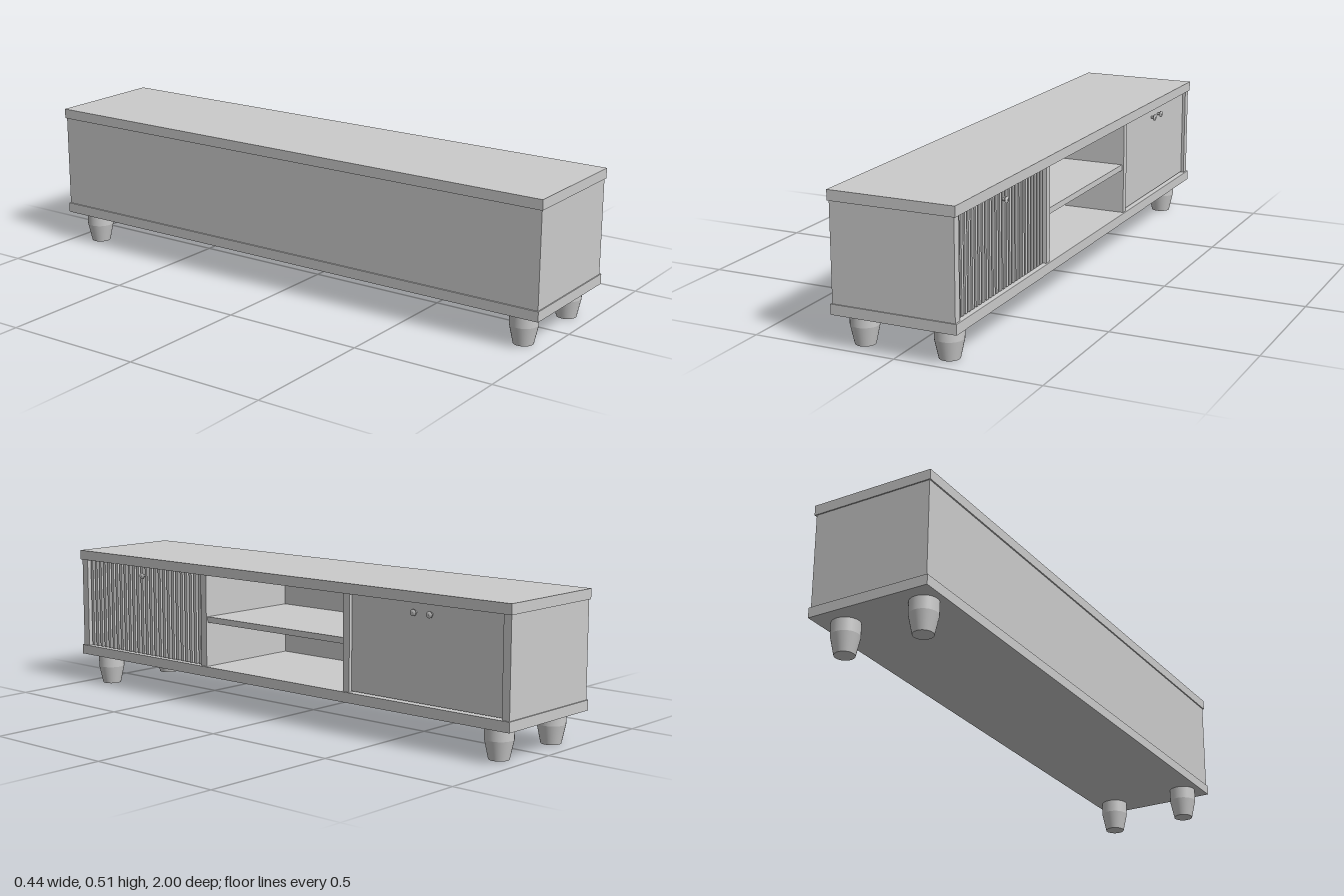
import * as THREE from 'three';

const material = new THREE.MeshStandardMaterial({ color: 0xcccccc });

export function createModel() {
  const model = new THREE.Group();
  model.name = 'mediaCabinet';

  // Box given by its limits on each axis
  const box = (name, [x0, x1], [y0, y1], [z0, z1]) => {
    const mesh = new THREE.Mesh(new THREE.BoxGeometry(x1 - x0, y1 - y0, z1 - z0), material);
    mesh.position.set((x0 + x1) / 2, (y0 + y1) / 2, (z0 + z1) / 2);
    mesh.name = name;
    model.add(mesh);
  };

  // Carcass
  const slabX = [-0.22, 0.218], bodyX = [-0.215, 0.212], bodyY = [0.145, 0.475];
  box('topBoard', slabX, [0.475, 0.51], [-1, 1]);
  box('bottomBoard', slabX, [0.11, 0.145], [-1, 1]);
  box('backPanel', [-0.215, -0.2], bodyY, [-0.967, 0.967]);
  for (const s of [-1, 1]) {
    const span = (a, b) => [Math.min(s * a, s * b), Math.max(s * a, s * b)];
    box('sidePanel', bodyX, bodyY, span(0.967, 0.996));
    box('divider', [-0.2, 0.212], bodyY, span(0.323, 0.35));
  }
  box('shelf', [-0.2, 0.205], [0.304, 0.325], [-0.323, 0.323]);

  // Plain door
  box('door', [0.187, 0.203], [0.149, 0.473], [-0.962, -0.353]);

  // Row of upright slats, open between them
  const slats = 26, z0 = 0.355, pitch = (0.964 - z0) / slats;
  for (let i = 0; i < slats; i++) {
    const z = z0 + (i + 0.5) * pitch;
    box('slat', [0.187, 0.203], [0.147, 0.473], [z - 0.0065, z + 0.0065]);
  }

  // Round knobs, turned on the x axis
  const knobProfile = [[0, 0], [0.005, 0], [0.005, 0.01], [0.011, 0.012], [0.011, 0.017], [0, 0.018]]
    .map(([r, y]) => new THREE.Vector2(r, y));
  const knobGeometry = new THREE.LatheGeometry(knobProfile, 20);
  for (const z of [-0.62, -0.685, 0.655]) {
    const knob = new THREE.Mesh(knobGeometry, material);
    knob.rotation.z = -Math.PI / 2;
    knob.position.set(0.202, 0.442, z);
    knob.name = 'knob';
    model.add(knob);
  }

  // Legs: straight collar over a tapered foot
  const collar = new THREE.CylinderGeometry(0.048, 0.048, 0.047, 32);
  const foot = new THREE.CylinderGeometry(0.048, 0.034, 0.065, 32);
  for (const [x, z] of [[-0.149, 0.914], [0.148, 0.914], [-0.149, -0.908], [0.14, -0.908]]) {
    const leg = new THREE.Group();
    leg.name = 'leg';
    [[collar, 0.0885, 'legCollar'], [foot, 0.0325, 'legFoot']].forEach(([geometry, y, name]) => {
      const mesh = new THREE.Mesh(geometry, material);
      mesh.position.y = y;
      mesh.name = name;
      leg.add(mesh);
    });
    leg.position.set(x, 0, z);
    model.add(leg);
  }

  return model;
}
